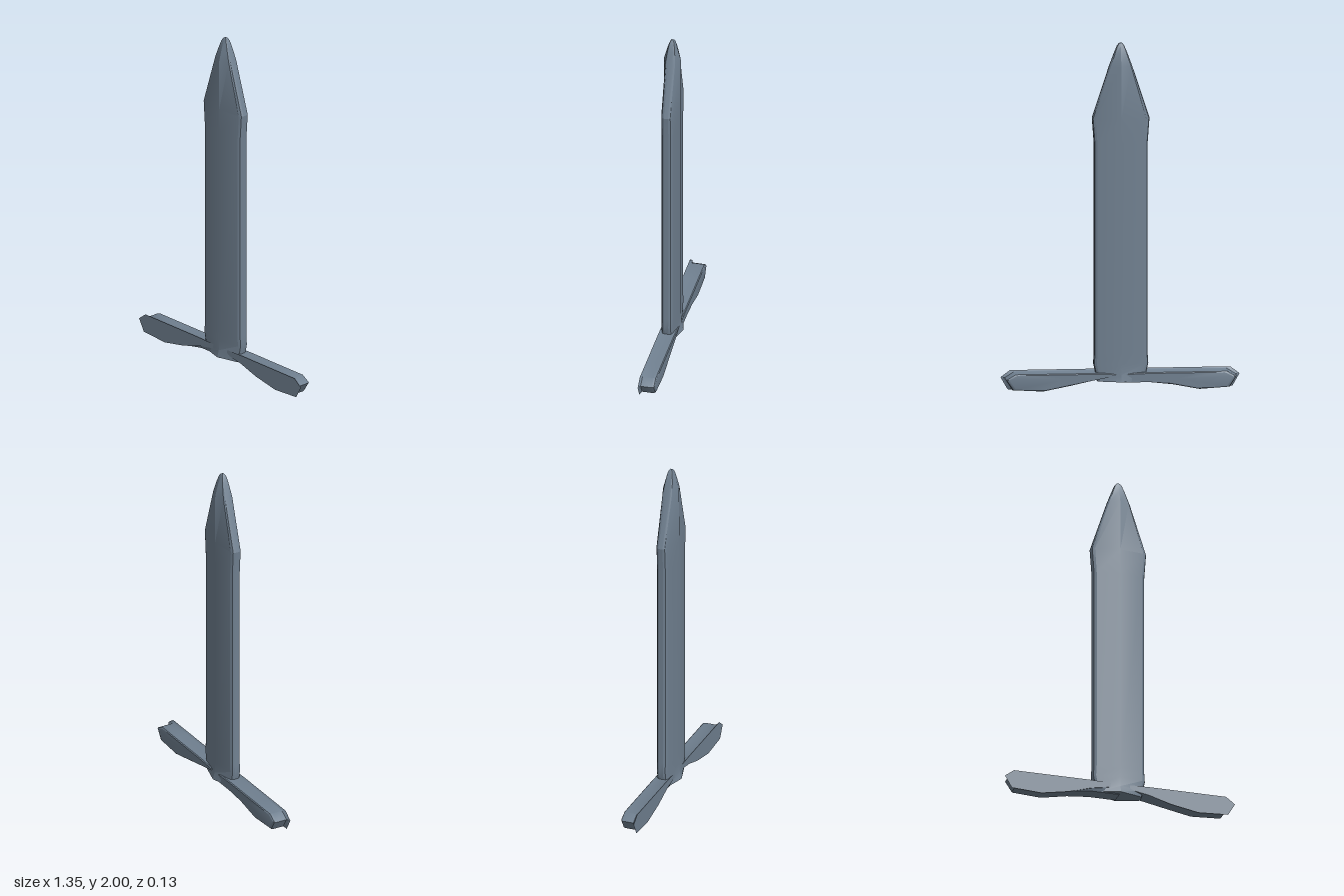
import * as THREE from 'three';
import { toCreasedNormals } from 'three/addons/utils/BufferGeometryUtils.js';

// Joins equal-length rings of points into a closed solid, facing outwards
function loft(rings, crease) {
  const n = rings[0].length, pos = rings.flat(2), idx = [];
  for (let r = 0; r < rings.length - 1; r++) {
    for (let i = 0; i < n; i++) {
      const a = r * n + i, b = r * n + (i + 1) % n;
      idx.push(a, b, b + n, a, b + n, a + n);
    }
  }
  // end caps, as fans around each centre
  [0, rings.length - 1].forEach((r) => {
    const c = [0, 1, 2].map((k) => rings[r].reduce((s, p) => s + p[k], 0) / n);
    const ci = pos.length / 3;
    pos.push(...c);
    for (let i = 0; i < n; i++) {
      const a = r * n + i, b = r * n + (i + 1) % n;
      if (r === 0) idx.push(ci, b, a); else idx.push(ci, a, b);
    }
  });
  // turn the solid the right way out by its signed volume
  let volume = 0;
  const v = (i) => new THREE.Vector3(pos[i * 3], pos[i * 3 + 1], pos[i * 3 + 2]);
  for (let i = 0; i < idx.length; i += 3) volume += v(idx[i]).dot(v(idx[i + 1]).cross(v(idx[i + 2])));
  if (volume < 0) idx.reverse();
  const g = new THREE.BufferGeometry();
  g.setAttribute('position', new THREE.Float32BufferAttribute(pos, 3));
  g.setIndex(idx);
  return toCreasedNormals(g, crease);
}

// Ridged blade section: half width w, edge half thickness e, ridge half thickness r
function bladeRing([y, w, e, r]) {
  const side = [[0, r], [w * 0.88, e * 1.3], [w * 0.97, e], [w, e * 0.5]];
  const half = [...side, ...side.slice(1).reverse().map(([x, z]) => [x, -z])];
  const ring = [...half, [0, -r], ...half.slice(1).map(([x, z]) => [-x, z]).reverse()];
  // drop the duplicated ridge point, keep both ridges once
  return ring.map(([x, z]) => [x, y, z]);
}

// Guard wing outline at depth z, drawn in by d
function wingRing(s, z, d, drop) {
  // x, top, bottom
  const stations = [[0, 0.115, 0.1], [0.17, 0.12, 0.07], [0.3, 0.12, 0.03], [0.46, 0.12, 0], [0.635, 0.12, 0.01]];
  const inX = (x) => s * x * (1 - d / 0.675);
  const top = stations.map(([x, t]) => [inX(x === 0.635 ? 0.622 : x), t - d * 0.35, z]);
  const bottom = stations.map(([x, , b]) => [inX(x), (x < 0.2 ? Math.min(b, drop) : b + d * 0.4), z]);
  return [...top, [inX(0.675), 0.08, z], ...bottom.reverse()];
}

export function createModel() {
  const steel = new THREE.MeshStandardMaterial({ color: 0x708090 });
  steel.name = 'slate steel';
  const model = new THREE.Group();
  model.name = 'sword';
  const add = (name, geometry) => {
    const mesh = new THREE.Mesh(geometry, steel);
    mesh.name = name;
    model.add(mesh);
  };

  // Blade: flared foot, long straight body, pointed tip
  add('blade', loft([
    [0.06, 0.135, 0.024, 0.064],
    [0.1, 0.142, 0.024, 0.053],
    [0.16, 0.155, 0.024, 0.05],
    [0.22, 0.151, 0.024, 0.05],
    [1.42, 0.151, 0.024, 0.05],
    [1.57, 0.162, 0.024, 0.05],
    [1.87, 0.064, 0.022, 0.049],
    [1.94, 0.038, 0.016, 0.03],
    [1.98, 0.022, 0.011, 0.017],
    [1.995, 0.012, 0.007, 0.01],
    [2, 0.004, 0.003, 0.004],
  ].map(bladeRing), 0.33));

  // Guard: two leaf-shaped wings with a flared front lip and a rounded back
  for (const [name, s, drop] of [['leftGuardWing', 1, 0.1], ['rightGuardWing', -1, 0.056]]) {
    add(name, loft([
      wingRing(s, 0.043, 0, 1),
      wingRing(s, 0.039, 0.012, 1),
      wingRing(s, 0.032, 0.023, drop),
      wingRing(s, -0.032, 0.023, drop),
      wingRing(s, -0.043, 0.028, drop),
      wingRing(s, -0.048, 0.042, drop),
    ], 0.6));
  }
  return model;
}
